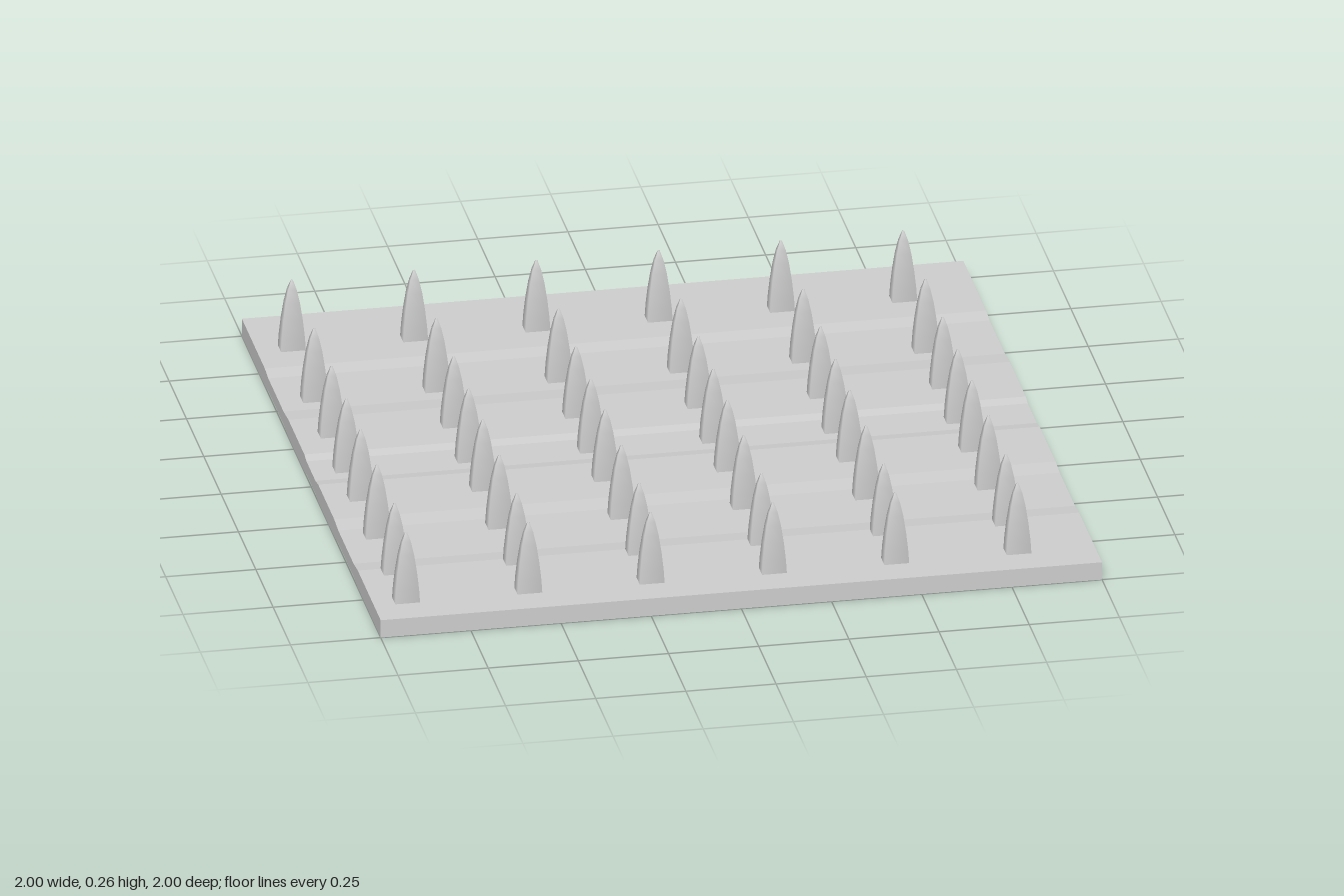
import * as THREE from 'three';

export function createModel() {
  const model = new THREE.Group();
  model.name = 'spikedPlate';
  const grey = new THREE.MeshStandardMaterial({ color: 0xcccccc });
  grey.name = 'plain grey';

  // Plate: long section with shallow thinned bands, [z, inset], extruded across x
  const section = [
    [1, 0], [0.67, 0], [0.61, 0.007], [0.39, 0.007], [0.33, 0],
    [0.1, 0], [0.06, 0.007], [-0.07, 0.007], [-0.1, 0],
    [-0.33, 0], [-0.4, 0.007], [-0.62, 0.007], [-0.67, 0], [-1, 0],
  ];
  const thickness = 0.052;
  const outline = [
    ...section.map(([z, inset]) => new THREE.Vector2(-z, inset)),
    ...section.map(([z, inset]) => new THREE.Vector2(-z, thickness - inset)).reverse(),
  ];
  const plateGeometry = new THREE.ExtrudeGeometry(new THREE.Shape(outline), {
    depth: 2, bevelEnabled: false,
  });
  plateGeometry.translate(0, 0, -1).rotateY(Math.PI / 2);
  const plate = new THREE.Mesh(plateGeometry, grey);
  plate.name = 'plate';
  model.add(plate);

  // Spike: four-sided, curved taper, wider across x than along z
  const profile = [
    [0.035, 0.04], [0.032, 0.09], [0.027, 0.14], [0.02, 0.19], [0.012, 0.228], [0.003, 0.254], [0, 0.256],
  ].map(([halfWidth, y]) => new THREE.Vector2(halfWidth * Math.SQRT2, y));
  const spikeGeometry = new THREE.LatheGeometry(profile, 4, Math.PI / 4);
  spikeGeometry.scale(1, 1, 0.7);

  // Rows of six spikes, unevenly spaced along z
  const rows = [-0.79, -0.468, -0.217, -0.002, 0.203, 0.438, 0.692, 0.882];
  rows.forEach((z, row) => {
    const shift = row === rows.length - 1 ? -0.005 : 0;
    for (let column = 0; column < 6; column++) {
      const spike = new THREE.Mesh(spikeGeometry, grey);
      spike.name = `spike${row + 1}_${column + 1}`;
      spike.position.set(-0.902 + column * 0.339 + shift, 0, z);
      model.add(spike);
    }
  });

  return model;
}
